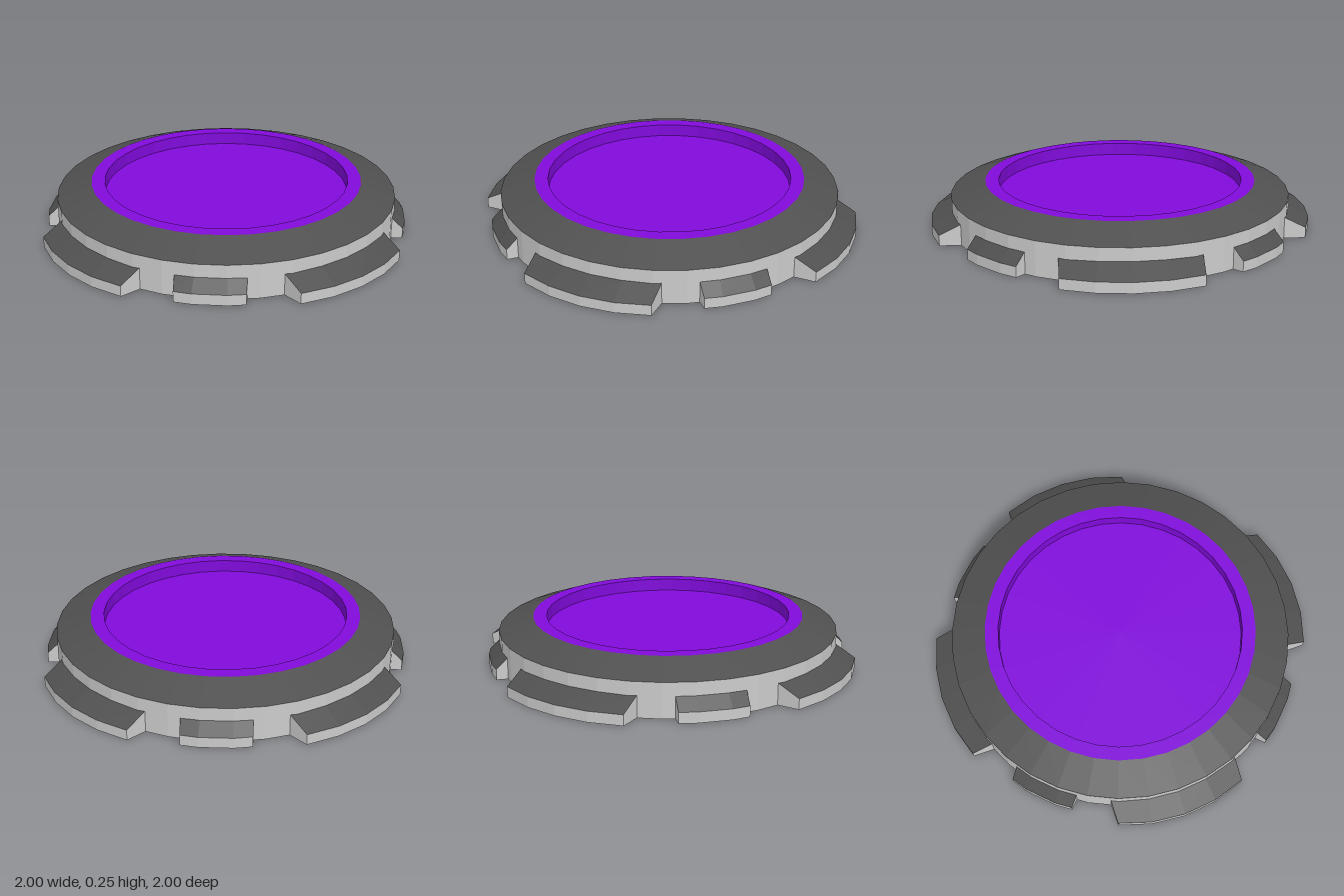
import * as THREE from 'three';

const material = (color) =>
  new THREE.MeshStandardMaterial({ color, flatShading: true });
const grey = material(0xcccccc);
const dark = material(0x505050);
const purple = material(0x800adb);

const SIDES = 36;
const BODY_R = 0.89;

// Faceted ring surface from a profile of [radius, height] points
function ring(name, profile, mat) {
  const points = profile.map(([r, y]) => new THREE.Vector2(r, y));
  const mesh = new THREE.Mesh(new THREE.LatheGeometry(points, SIDES), mat);
  mesh.name = name;
  return mesh;
}

// Mesh made of four-cornered faces, corners counter-clockwise from outside
function quads(name, faces, mat) {
  const positions = faces.flatMap(([a, b, c, d]) => [a, b, c, a, c, d].flat());
  const geometry = new THREE.BufferGeometry();
  geometry.setAttribute('position', new THREE.Float32BufferAttribute(positions, 3));
  geometry.computeVertexNormals();
  const mesh = new THREE.Mesh(geometry, mat);
  mesh.name = name;
  return mesh;
}

// Rim lug facing +z: outer and inner are matching [x, z] outlines, left to right
function lug(name, outer, inner) {
  const LOW = 0.055, HIGH = 0.112;
  const at = ([x, z], y) => [x, y, z];
  const walls = [], slopes = [], base = [];
  for (let i = 0; i < outer.length - 1; i++) {
    const o = outer[i], p = outer[i + 1], n = inner[i], m = inner[i + 1];
    walls.push([at(o, 0), at(p, 0), at(p, LOW), at(o, LOW)]);
    slopes.push([at(o, LOW), at(p, LOW), at(m, HIGH), at(n, HIGH)]);
    base.push([at(n, 0), at(m, 0), at(p, 0), at(o, 0)]);
  }
  const e = outer.length - 1;
  walls.push([at(inner[0], 0), at(outer[0], 0), at(outer[0], LOW), at(inner[0], HIGH)]);
  walls.push([at(outer[e], 0), at(inner[e], 0), at(inner[e], HIGH), at(outer[e], LOW)]);

  const group = new THREE.Group();
  group.name = name;
  group.add(
    quads('lugWalls', walls, grey),
    quads('lugSlope', slopes, dark),
    quads('lugBase', base, dark)
  );
  return group;
}

export function createModel() {
  const model = new THREE.Group();
  model.name = 'roundPlatform';

  // Disc body: base, wall and bevelled top
  model.add(
    ring('bodyBase', [[0, 0], [BODY_R, 0]], dark),
    ring('bodyWall', [[BODY_R, 0], [BODY_R, 0.18]], grey),
    ring('bodyBevel', [[BODY_R, 0.18], [0.71, 0.245]], dark)
  );

  // Coloured rim with a shallow recessed floor
  model.add(ring('recessedPad',
    [[0.71, 0.245], [0.64, 0.245], [0.64, 0.178], [0, 0.178]], purple));

  // Four wide lugs, with four narrow ones on the diagonals
  const wideOuter = [[-0.338, 0.932], [-0.172, 0.983], [0, 1], [0.172, 0.983], [0.338, 0.932]];
  const wideInner = [[-0.338, 0.82], [-0.155, 0.876], [0, BODY_R], [0.155, 0.876], [0.338, 0.82]];
  const narrowOuter = [[-0.171, 0.928], [-0.083, 0.944], [0.083, 0.944], [0.171, 0.928]];
  const narrowInner = [[-0.171, 0.869], [-0.078, 0.887], [0.078, 0.887], [0.171, 0.869]];
  for (let i = 0; i < 4; i++) {
    const wide = lug('wideLug', wideOuter, wideInner);
    wide.rotation.y = i * Math.PI / 2;
    const narrow = lug('narrowLug', narrowOuter, narrowInner);
    narrow.rotation.y = (i + 0.5) * Math.PI / 2;
    model.add(wide, narrow);
  }
  return model;
}
